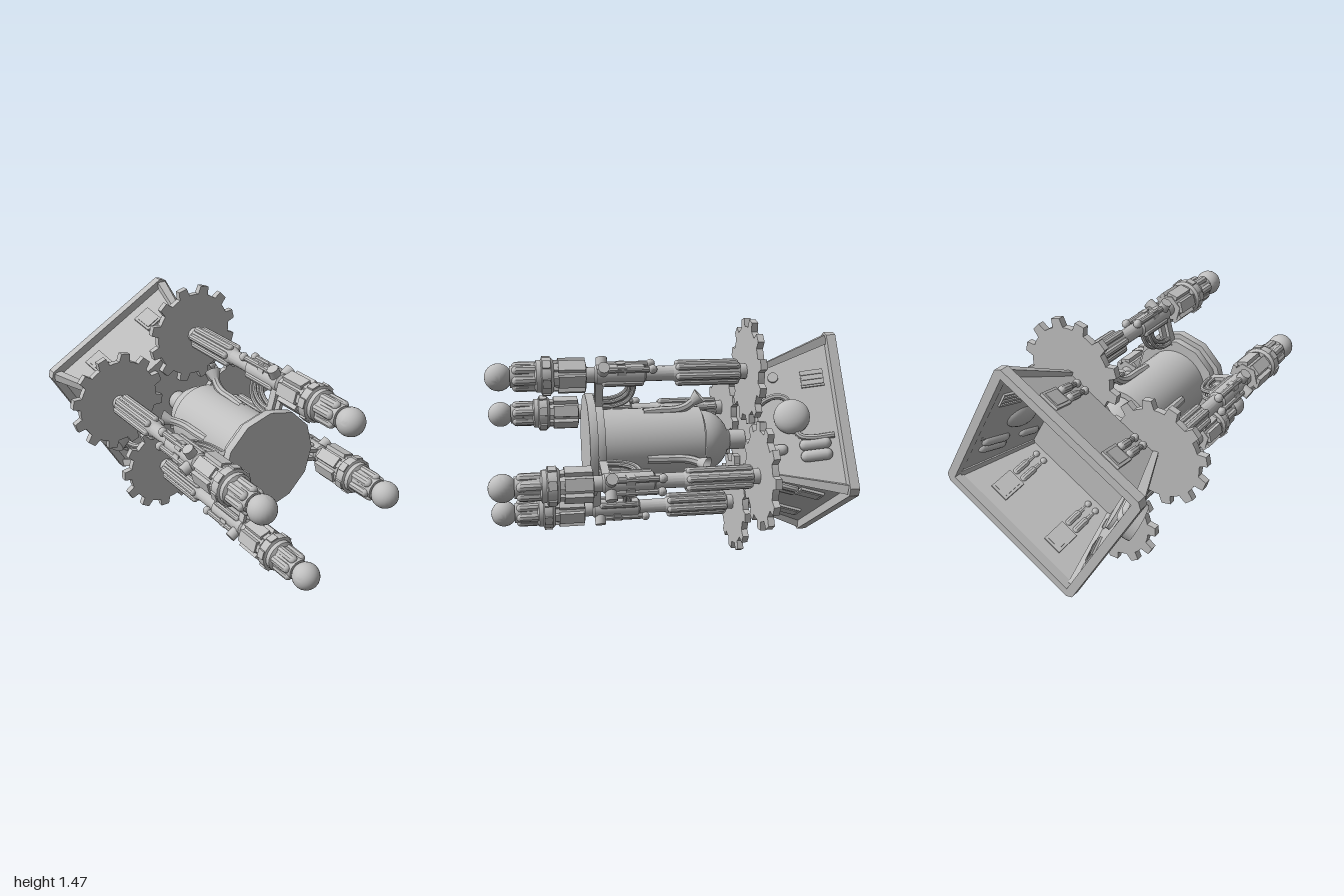
import * as THREE from 'three';
import { toCreasedNormals } from 'three/addons/utils/BufferGeometryUtils.js';

const grey = new THREE.MeshStandardMaterial({ color: 0xc0c0c0, side: THREE.DoubleSide });
grey.name = 'plainGrey';

const V = (x, y, z) => new THREE.Vector3(x, y, z);
const CENTRE_Y = 0.737, BASE = THREE.MathUtils.degToRad(74.4), LEG_R = 0.446;

function add(parent, name, geo, x = 0, y = 0, z = 0) {
  const mesh = new THREE.Mesh(toCreasedNormals(geo, 0.6), grey);
  mesh.name = name;
  mesh.position.set(x, y, z);
  parent.add(mesh);
  return mesh;
}

// solid of revolution about z; profile points are [radius, z]
function turned(profile, sides) {
  const pts = profile.map(([r, z]) => new THREE.Vector2(r, z));
  return new THREE.LatheGeometry(pts, sides).rotateX(Math.PI / 2);
}

// tapered round bar between two points
function bar(parent, name, a, b, ra, rb = ra, sides = 12) {
  const mesh = add(parent, name, new THREE.CylinderGeometry(rb, ra, a.distanceTo(b), sides));
  mesh.position.copy(a).add(b).multiplyScalar(0.5);
  mesh.quaternion.setFromUnitVectors(V(0, 1, 0), b.clone().sub(a).normalize());
  return mesh;
}

function tube(parent, name, pts, r, n = 16) {
  return add(parent, name, new THREE.TubeGeometry(new THREE.CatmullRomCurve3(pts), n, r, 8));
}

const capsuleZ = (r, len) => new THREE.CapsuleGeometry(r, len - 2 * r, 5, 10).rotateX(Math.PI / 2);

function gearGeometry() {
  const shape = new THREE.Shape();
  for (let i = 0; i < 12; i++) {
    const a = i * Math.PI / 6;
    for (const [da, r] of [[-0.14, 0.258], [-0.092, 0.307], [0.092, 0.307], [0.14, 0.258], [0.26, 0.258]]) {
      const x = r * Math.cos(a + da), y = r * Math.sin(a + da);
      if (i === 0 && da === -0.14) shape.moveTo(x, y); else shape.lineTo(x, y);
    }
  }
  return new THREE.ExtrudeGeometry(shape, { depth: 0.037, bevelEnabled: false });
}

// arm lying along z, with local +x pointing away from the centre
function makeArm() {
  const arm = new THREE.Group();
  arm.name = 'arm';
  add(arm, 'tipBall', new THREE.SphereGeometry(0.077, 24, 16), 0, 0, 0.922);
  add(arm, 'core', turned([[0, -0.49], [0.045, -0.49], [0.045, -0.45], [0.055, -0.45], [0.055, -0.08],
    [0.043, -0.06], [0.043, 0.1], [0.055, 0.11], [0.055, 0.38], [0.045, 0.39], [0.045, 0.45], [0, 0.45]], 16));
  add(arm, 'headBlock', turned([[0, 0.44], [0.085, 0.44], [0.09, 0.58], [0.07, 0.63], [0, 0.63]], 6));
  add(arm, 'headCollar', turned([[0, 0.62], [0.09, 0.62], [0.104, 0.635], [0.104, 0.685], [0.09, 0.69],
    [0.09, 0.715], [0.07, 0.725], [0.06, 0.86], [0, 0.86]], 20));
  for (let i = 0; i < 6; i++) {
    const ring = new THREE.Group();
    ring.name = 'armSector';
    ring.rotation.z = i * Math.PI / 3 + Math.PI / 6;
    arm.add(ring);
    // head plates, collar studs, front petals and rear flutes
    add(ring, 'headPlate', new THREE.BoxGeometry(0.024, 0.068, 0.15), 0.084, 0, 0.52);
    add(ring, 'headWedge', new THREE.BoxGeometry(0.02, 0.045, 0.06), 0.075, 0, 0.61);
    add(ring, 'collarStud', new THREE.BoxGeometry(0.02, 0.05, 0.045), 0.1, 0, 0.66);
    add(ring, 'petal', capsuleZ(0.028, 0.15), 0.056, 0, 0.775);
    add(ring, 'rearFlute', capsuleZ(0.022, 0.38), 0.053, 0, -0.26);
  }
  // hub knobs and the guide rods behind them
  for (const a of [-0.75, 0.75]) {
    const c = Math.cos(a), s = Math.sin(a);
    bar(arm, 'hubKnob', V(0.03 * c, 0.03 * s, 0.345), V(0.1 * c, 0.1 * s, 0.345), 0.033);
    add(arm, 'guideRod', capsuleZ(0.018, 0.25), 0.06 * c, 0.06 * s, 0.2);
    add(arm, 'rodBall', new THREE.SphereGeometry(0.026, 12, 8), 0.062 * c, 0.062 * s, 0.065);
    add(arm, 'rodClamp', new THREE.BoxGeometry(0.045, 0.045, 0.05), 0.05 * c, 0.05 * s, 0.24);
    add(arm, 'innerRod', capsuleZ(0.018, 0.24), -0.055 * c, 0.055 * s, 0.23);
  }
  return arm;
}

// everything that repeats around the body
function makeQuarter(index, gearPhase) {
  const q = new THREE.Group();
  q.name = 'quarter' + (index + 1);
  q.rotation.z = BASE + index * Math.PI / 2;
  const arm = makeArm();
  arm.position.x = LEG_R;
  q.add(arm);
  const gear = add(q, 'gear', gearGeometry(), LEG_R, 0, -0.527);
  gear.rotation.z = THREE.MathUtils.degToRad(gearPhase) - q.rotation.z;
  // strut and cable bundle from arm to body
  for (const y of [-0.026, 0.026]) {
    add(q, 'strut', new THREE.BoxGeometry(0.18, 0.022, 0.045), 0.33, y, 0.365);
  }
  for (let k = 0; k < 4; k++) {
    const y = (k % 2 - 0.5) * 0.05, o = k < 2 ? 0 : 0.028;
    tube(q, 'cable', [V(0.41, y, 0.165 + o), V(0.35, y, 0.17 + o), V(0.295 + o * 0.7, y, 0.2 + o),
      V(0.262 + o, y, 0.27 + o * 0.5), V(0.258 + o, y, 0.36)], 0.0125);
  }
  // exhaust horn lying on the body
  tube(q, 'hornPipe', [V(0.2, 0, 0.1), V(0.208, 0, 0), V(0.212, 0, -0.1), V(0.232, 0, -0.155), V(0.265, 0, -0.195)], 0.026);
  add(q, 'hornMouth', new THREE.CylinderGeometry(0.048, 0.026, 0.055, 16, 1, true), 0.279, 0, -0.21)
    .quaternion.setFromUnitVectors(V(0, 1, 0), V(0.033, 0, -0.035).normalize());
  // sloping corner rib of the rear housing
  bar(q, 'cornerRib', V(0.44, 0, -0.53), V(0.635, 0, -0.95), 0.022, 0.036, 4);
  return q;
}

// frame on one sloping wall: y runs backwards along the wall, z points out
function wallFrame(angle) {
  const f = new THREE.Group();
  f.name = 'wallDetails';
  const d = V(Math.cos(angle), Math.sin(angle), 0);
  const s = d.clone().multiplyScalar(0.131).add(V(0, 0, -0.415)).normalize();
  const n = d.clone().multiplyScalar(0.415).add(V(0, 0, 0.131)).normalize();
  f.quaternion.setFromRotationMatrix(new THREE.Matrix4().makeBasis(s.clone().cross(n), s, n));
  f.position.copy(d).multiplyScalar(0.311).add(V(0, 0, -0.53));
  return f;
}

function plateWall(f) {
  for (const t of [-0.21, 0.21]) {
    add(f, 'panel', new THREE.BoxGeometry(0.115, 0.14, 0.03), t, 0.3, 0);
    add(f, 'panelInset', new THREE.BoxGeometry(0.085, 0.11, 0.04), t, 0.3, 0);
    for (const o of [-0.029, 0.029]) {
      add(f, 'canister', new THREE.CapsuleGeometry(0.023, 0.07, 5, 10), t + o, 0.165, 0.01);
      add(f, 'canisterNeck', new THREE.CylinderGeometry(0.018, 0.012, 0.08, 10), t + o, 0.09, 0.01);
      add(f, 'canisterBall', new THREE.SphereGeometry(0.023, 12, 8), t + o, 0.045, 0.012);
    }
  }
}

function podWall(f, round) {
  if (round) {
    add(f, 'pod', new THREE.SphereGeometry(0.102, 24, 16), 0, 0.19, 0.03).scale.z = 0.65;
  } else {
    add(f, 'drum', new THREE.CylinderGeometry(0.108, 0.108, 0.14, 28).rotateX(Math.PI / 2), 0, 0.2, 0.05);
  }
  tube(f, 'upperHose', [V(-0.11, 0.03, 0.0), V(-0.12, 0.06, 0.03), V(-0.13, 0.12, 0.035), V(-0.11, 0.17, 0.035), V(-0.06, 0.19, 0.03)], 0.018);
  tube(f, 'lowerHose', [V(0.06, 0.2, 0.03), V(0.115, 0.22, 0.03), V(0.135, 0.28, 0.03), V(0.13, 0.41, 0.01)], 0.018);
  add(f, 'disc', new THREE.CylinderGeometry(0.03, 0.03, 0.03, 16).rotateX(Math.PI / 2), -0.255, 0.115, 0);
  add(f, 'ventPlate', new THREE.BoxGeometry(0.1, 0.13, 0.025), -0.22, 0.335, 0);
  for (let i = 0; i < 3; i++) {
    add(f, 'ventRib', new THREE.BoxGeometry(0.018, 0.12, 0.04), -0.25 + i * 0.03, 0.335, 0);
  }
  add(f, 'smallTank', new THREE.CapsuleGeometry(0.032, 0.07, 5, 12), 0.18, 0.08, 0.01);
  for (const t of [0.17, 0.235]) {
    add(f, 'largeTank', new THREE.CapsuleGeometry(0.034, 0.11, 5, 12), t, 0.3, 0.01);
  }
}

function makeHousing() {
  const h = new THREE.Group();
  h.name = 'rearHousing';
  h.rotation.z = BASE;
  // open four-sided funnel with a closed front and a framed rear rim
  add(h, 'funnelWall', new THREE.CylinderGeometry(0.44, 0.632, 0.43, 4, 1, true).rotateX(Math.PI / 2), 0, 0, -0.745);
  add(h, 'funnelFloor', new THREE.CircleGeometry(0.44, 4), 0, 0, -0.531);
  const rim = new THREE.Shape(), hole = new THREE.Path();
  for (let i = 0; i < 4; i++) {
    const a = i * Math.PI / 2, c = Math.cos(a), s = Math.sin(a);
    for (const o of [-0.022, 0.022]) {
      const x = 0.67 * c - o * s, y = 0.67 * s + o * c;
      if (i === 0 && o < 0) rim.moveTo(x, y); else rim.lineTo(x, y);
    }
    if (i === 0) hole.moveTo(0.62, 0); else hole.lineTo(0.62 * c, 0.62 * s);
  }
  rim.closePath();
  hole.closePath();
  rim.holes.push(hole);
  add(h, 'rim', new THREE.ExtrudeGeometry(rim, { depth: 0.055, bevelEnabled: false }), 0, 0, -1);
  for (let i = 0; i < 4; i++) {
    const f = wallFrame(Math.PI / 4 + i * Math.PI / 2);
    if (i % 2 === 0) plateWall(f); else podWall(f, i === 3);
    h.add(f);
  }
  return h;
}

export function createModel() {
  const model = new THREE.Group();
  model.name = 'gearedMachine';
  const all = new THREE.Group();
  all.name = 'assembly';
  all.position.y = CENTRE_Y;
  model.add(all);

  // central drum with a flat front disc, domed back and drive shaft
  add(all, 'frontDisc', turned([[0, 0.39], [0.308, 0.39], [0.308, 0.437], [0, 0.437]], 12));
  add(all, 'discBacking', turned([[0, 0.345], [0.275, 0.345], [0.275, 0.39], [0, 0.39]], 12));
  add(all, 'drum', turned([[0, -0.24], [0.208, -0.24], [0.208, 0.35], [0, 0.35]], 32));
  const dome = [[0.06, -0.52], [0.06, -0.425]];
  for (let i = 2; i <= 8; i++) {
    const a = i / 8 * Math.PI / 2;
    dome.push([0.185 * Math.sin(a), -0.25 - 0.175 * Math.cos(a)]);
  }
  add(all, 'dome', turned(dome, 28));

  [14, 18, 6, 27].forEach((phase, i) => {
    // order around the body: top, left side, bottom, right side
    all.add(makeQuarter(i, [14, 18, 27, 6][i]));
  });
  all.add(makeHousing());
  return model;
}
